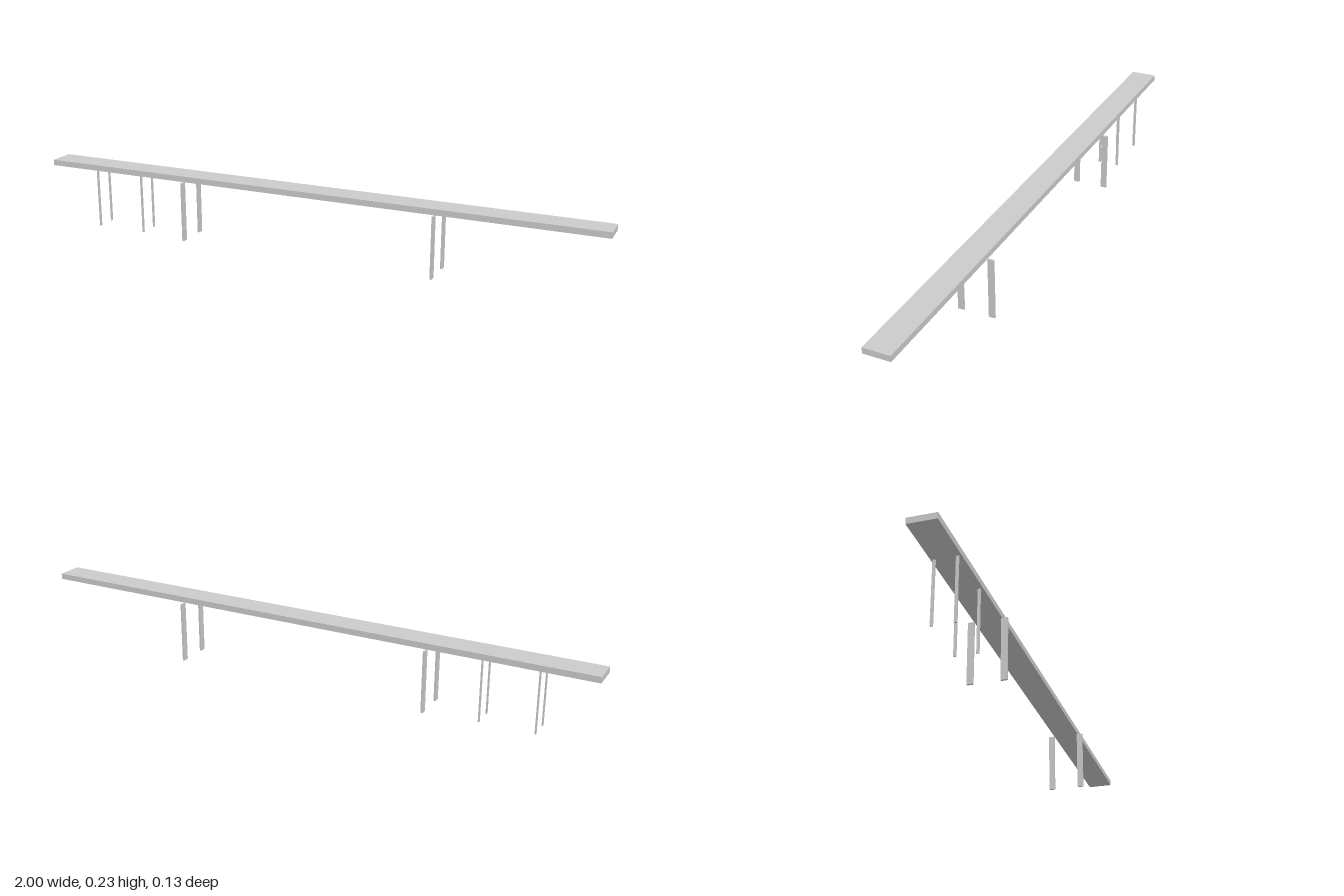
import * as THREE from 'three';

export function createModel() {
  const model = new THREE.Group();
  const grey = new THREE.MeshStandardMaterial({ color: 0xcccccc, flatShading: true });
  const deckBottom = 0.209, deckTop = 0.229;

  // Box given by its limits on each axis
  function block(name, x0, x1, y0, y1, z0, z1) {
    const geometry = new THREE.BoxGeometry(x1 - x0, y1 - y0, z1 - z0);
    geometry.translate((x0 + x1) / 2, (y0 + y1) / 2, (z0 + z1) / 2);
    const mesh = new THREE.Mesh(geometry, grey);
    mesh.name = name;
    model.add(mesh);
    return mesh;
  }

  // Long deck, its back edge narrowing very slightly towards +x
  const deck = block('deck', -1, 1, deckBottom, deckTop, -0.0445, 0.0465);
  const p = deck.geometry.attributes.position;
  for (let i = 0; i < p.count; i++) {
    if (p.getX(i) > 0 && p.getZ(i) < 0) p.setZ(i, -0.042);
  }

  // Pairs of piers: wide ones outside the deck edges, slim ones beneath it
  const piers = [
    { name: 'widePier', xs: [-0.454, 0.453], thick: 0.007, inner: 0.043, outer: 0.0635 },
    { name: 'slimPier', xs: [-0.817, -0.635], thick: 0.004, inner: 0.03, outer: 0.039 },
  ];
  for (const { name, xs, thick, inner, outer } of piers) {
    for (const x of xs) {
      block(name + 'Front', x - thick / 2, x + thick / 2, 0, deckBottom, inner, outer);
      block(name + 'Back', x - thick / 2, x + thick / 2, 0, deckBottom, -outer, -inner);
    }
  }
  return model;
}
